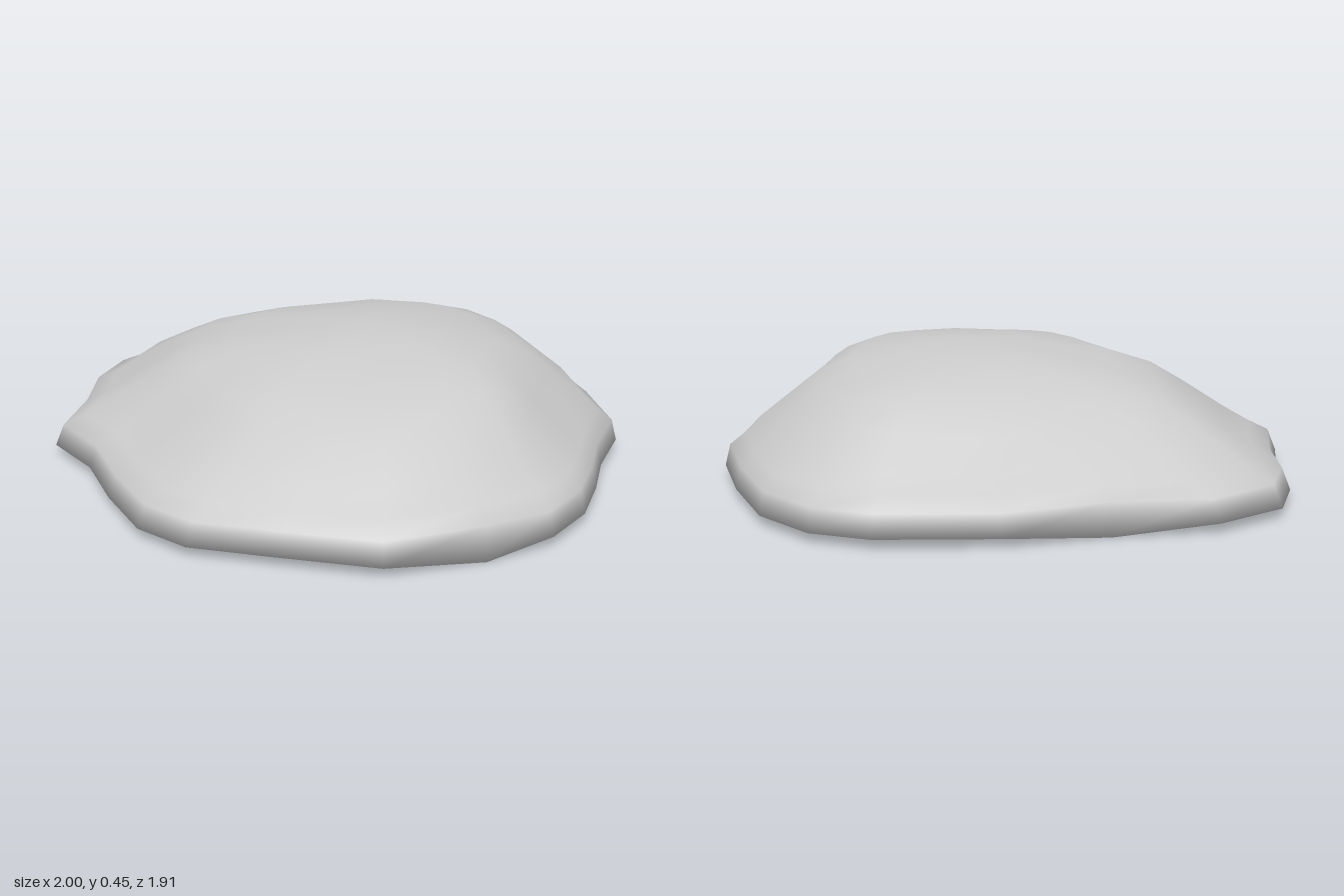
import * as THREE from 'three';
import { mergeVertices } from 'three/addons/utils/BufferGeometryUtils.js';

// Ground outline of the rock as [x, z], running from the back round by the left side
const OUTLINE = [
  [0.03, -0.96], [0.26, -0.92], [0.51, -0.76], [0.73, -0.58], [0.81, -0.36], [0.9, -0.19],
  [0.98, 0], [1, 0.2], [0.91, 0.41], [0.75, 0.69], [0.47, 0.83], [0.22, 0.95],
  [0.02, 0.95], [-0.21, 0.85], [-0.44, 0.72], [-0.67, 0.66], [-0.79, 0.44], [-0.93, 0.26],
  [-1, 0.07], [-0.92, -0.17], [-0.67, -0.39], [-0.47, -0.67], [-0.16, -0.9],
];

// Cross-sections as [scale, height], from the underside centre out to the rim and up to the peak
const RINGS = [
  [0, 0.035], [0.76, 0.033], [1, 0.033], [0.975, 0.105], [0.91, 0.142], [0.83, 0.2],
  [0.7, 0.285], [0.6, 0.347], [0.46, 0.395], [0.25, 0.428], [0, 0.452],
];

function ringPoint(i, r) {
  const [s, h] = RINGS[r];
  const [ox, oz] = OUTLINE[i];
  const a = Math.atan2(oz, ox);
  const upper = r > 2;
  // Inner rings get rounder and drift towards the off-centre peak
  const round = upper ? 0.6 * (1 - s) : 0;
  const drift = upper ? 1 - s * s : 0;
  const k = 1 + round * (0.95 / Math.hypot(ox, oz) - 1);
  // Gentle lumps on the flank, and two low spots on the rim
  const lump = r > 4 && s > 0 ? 0.012 * Math.sin(3 * a + r) * s : 0;
  const dip = r === 2 && (i === 8 || i === 20) ? 0.033 : 0;
  return [ox * s * k + 0.1 * drift, h + lump - dip, oz * s * k - 0.05 * drift];
}

function rockGeometry() {
  const n = OUTLINE.length;
  const pos = [];
  const index = [];
  RINGS.forEach((_, r) => {
    for (let i = 0; i < n; i++) pos.push(...ringPoint(i, r));
  });
  for (let r = 0; r < RINGS.length - 1; r++) {
    for (let i = 0; i < n; i++) {
      const a = r * n + i;
      const b = r * n + ((i + 1) % n);
      if (RINGS[r][0] > 0) index.push(a, a + n, b);
      if (RINGS[r + 1][0] > 0) index.push(b, a + n, b + n);
      else index.push(a, a + n, b);
    }
  }
  // The top cap was closed by the first triangle of each pair already
  const unique = [];
  const seen = new Set();
  for (let t = 0; t < index.length; t += 3) {
    const key = index.slice(t, t + 3).join();
    if (!seen.has(key)) unique.push(...index.slice(t, t + 3));
    seen.add(key);
  }
  const geo = new THREE.BufferGeometry();
  geo.setAttribute('position', new THREE.Float32BufferAttribute(pos, 3));
  geo.setIndex(unique);
  // Weld the pole points so the shading runs smoothly over them
  const welded = mergeVertices(geo, 1e-5);
  welded.computeVertexNormals();
  return welded;
}

export function createModel() {
  const model = new THREE.Group();
  model.name = 'rock';
  const rock = new THREE.Mesh(rockGeometry(), new THREE.MeshStandardMaterial({ color: 0xcccccc }));
  rock.name = 'flatBoulder';
  model.add(rock);
  return model;
}
